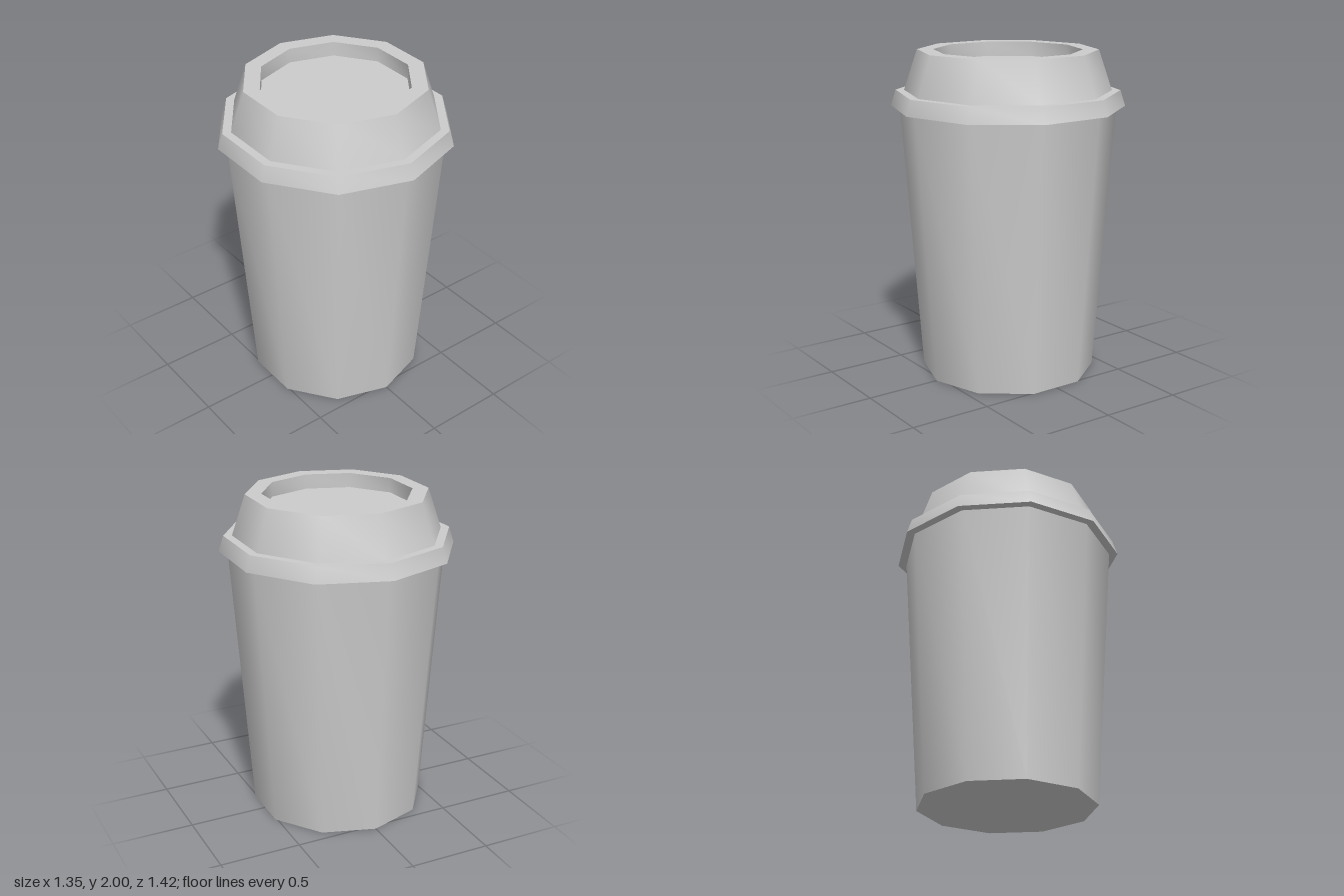
import * as THREE from 'three';
import { toCreasedNormals } from 'three/addons/utils/BufferGeometryUtils.js';

const SIDES = 10;

// Ten-sided turned part: smooth around the axis, sharp along the profile.
function turned(name, profile, material) {
  const points = profile.map(([r, y]) => new THREE.Vector2(r, y));
  const geometry = toCreasedNormals(new THREE.LatheGeometry(points, SIDES), 0.8);
  const mesh = new THREE.Mesh(geometry, material);
  mesh.name = name;
  return mesh;
}

export function createModel() {
  const group = new THREE.Group();
  group.name = 'takeawayCup';
  const material = new THREE.MeshStandardMaterial({ color: 0xcccccc });

  // Tapered cup with a closed base
  group.add(turned('cup', [[0, 0], [0.537, 0], [0.657, 1.66]], material));

  // Lid: underside, flared rim, ledge, raised wall, top edge and sunken centre
  group.add(turned('lid', [
    [0.655, 1.66], [0.71, 1.66], [0.68, 1.755], [0.628, 1.755],
    [0.546, 2], [0.449, 2], [0.449, 1.91], [0, 1.91],
  ], material));

  return group;
}
